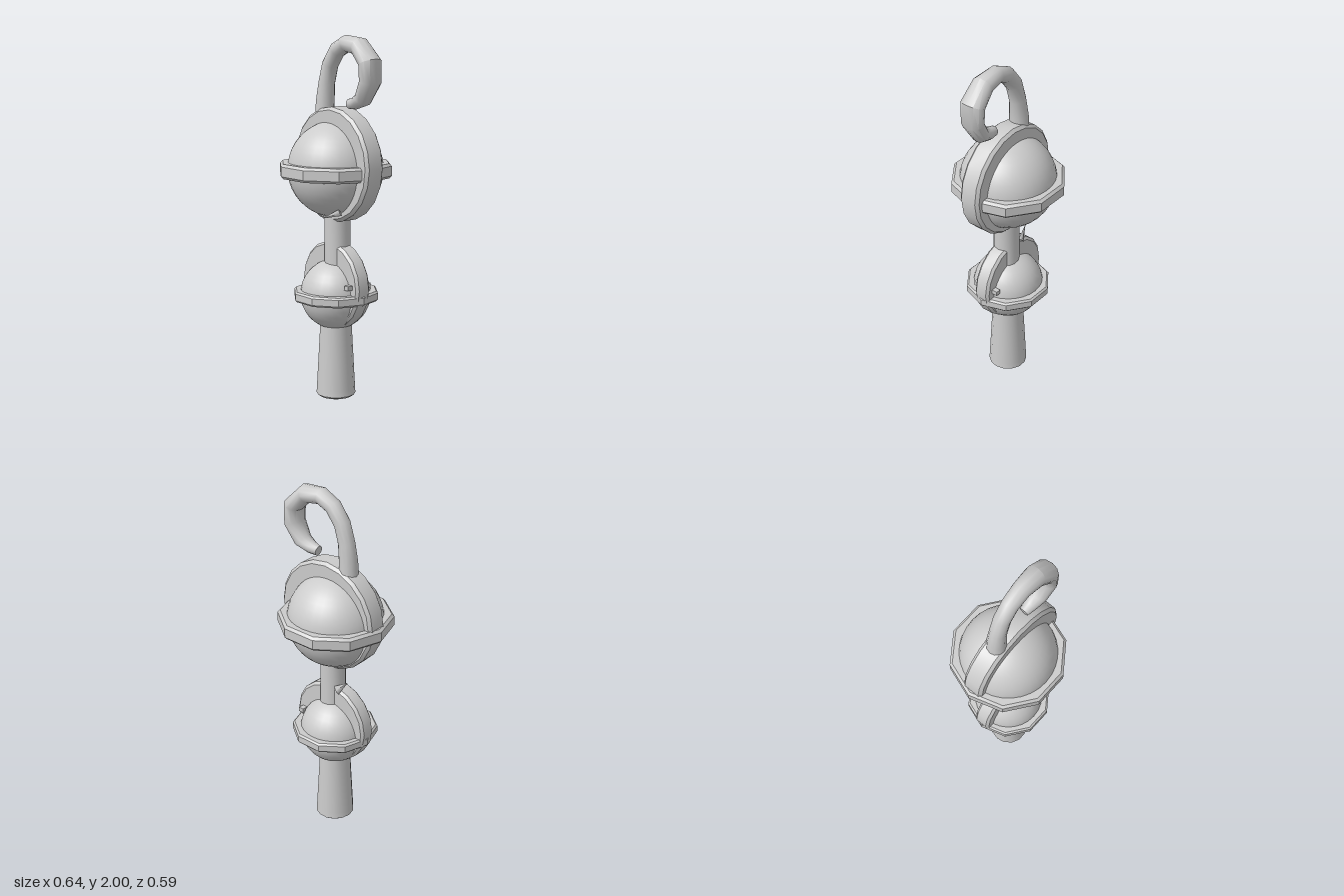
import * as THREE from 'three';
import { toCreasedNormals } from 'three/addons/utils/BufferGeometryUtils.js';

const grey = new THREE.MeshStandardMaterial({ color: 0xcccccc });
const greyThin = new THREE.MeshStandardMaterial({ color: 0xcccccc, side: THREE.DoubleSide });

export function createModel() {
  const model = new THREE.Group();

  const add = (name, geometry, x, y, z = 0, material = grey) => {
    const mesh = new THREE.Mesh(geometry, material);
    mesh.name = name;
    mesh.position.set(x, y, z);
    model.add(mesh);
    return mesh;
  };

  const lathe = (profile, sides, crease = 0.6) => toCreasedNormals(
    new THREE.LatheGeometry(profile.map(p => new THREE.Vector2(...p)), sides, Math.PI / 2), crease);

  // Bevelled band with a hidden inner edge
  const band = (inner, outer, half, bevel, sides) => lathe([
    [inner, -half], [outer - bevel, -half], [outer, -half + bevel],
    [outer, half - bevel], [outer - bevel, half], [inner, half],
  ], sides, 0.5);

  // Thin pointed sliver running from a to b
  const sliver = (name, a, b, width) => {
    const from = new THREE.Vector3(...a), to = new THREE.Vector3(...b);
    const dir = to.clone().sub(from);
    const geometry = new THREE.ConeGeometry(width, dir.length(), 4).scale(1, 1, 0.4);
    const mid = from.clone().add(to).multiplyScalar(0.5);
    add(name, geometry, mid.x, mid.y, mid.z, greyThin)
      .quaternion.setFromUnitVectors(new THREE.Vector3(0, 1, 0), dir.normalize());
  };

  // Tapered handle with a bevelled foot and a small raised boss underneath
  add('handle', lathe([
    [0, 0], [0.055, 0], [0.06, 0.012], [0.092, 0.012], [0.108, 0.025],
    [0.106, 0.06], [0.086, 0.43], [0, 0.43],
  ], 14), -0.007, 0);

  // Lower globe with its two bands
  add('lowerGlobe', new THREE.SphereGeometry(0.194, 28, 18), -0.01, 0.588);
  add('lowerHorizontalBand', band(0.15, 0.237, 0.028, 0.01, 10), -0.007, 0.587);
  add('lowerVerticalBand', band(0.1, 0.238, 0.047, 0.014, 18), -0.008, 0.645)
    .rotation.x = Math.PI / 2;
  add('lowerFlap', new THREE.BoxGeometry(0.03, 0.025, 0.16), 0.175, 0.66);
  sliver('bandSliver', [-0.06, 0.87, -0.05], [-0.125, 0.935, -0.03], 0.025);

  // Stem joining the globes
  add('stem', lathe([[0, 0], [0.072, 0], [0.07, 0.32], [0, 0.32]], 14), 0.007, 0.73);

  // Upper globe with its two bands
  add('upperGlobe', new THREE.SphereGeometry(0.261, 32, 22), -0.01, 1.28);
  add('upperHorizontalBand', band(0.2, 0.312, 0.04, 0.014, 10), -0.012, 1.278);
  add('upperVerticalBand', band(0.15, 0.311, 0.061, 0.016, 20), 0.01, 1.308)
    .rotation.x = Math.PI / 2;
  sliver('globeSliver', [0.15, 1.07, 0.1], [0.05, 1.03, 0.14], 0.02);

  // Curled hook: x, y, in-plane radius, depth radius
  const stations = [
    [-0.102, 1.55, 0.05, 0.055], [-0.098, 1.64, 0.05, 0.052], [-0.085, 1.74, 0.046, 0.045],
    [-0.055, 1.84, 0.045, 0.045], [0.005, 1.918, 0.045, 0.046], [0.085, 1.955, 0.045, 0.05],
    [0.187, 1.942, 0.05, 0.06], [0.27, 1.86, 0.05, 0.07], [0.272, 1.76, 0.048, 0.066],
    [0.215, 1.668, 0.043, 0.052], [0.155, 1.645, 0.034, 0.038], [0.107, 1.638, 0.027, 0.027],
  ];
  const sides = 12, positions = [], index = [];
  stations.forEach(([x, y, r, depth], i) => {
    const a = stations[Math.max(i - 1, 0)];
    const b = stations[Math.min(i + 1, stations.length - 1)];
    const length = Math.hypot(b[0] - a[0], b[1] - a[1]);
    const nx = -(b[1] - a[1]) / length, ny = (b[0] - a[0]) / length;
    for (let j = 0; j < sides; j++) {
      const t = (j / sides) * Math.PI * 2;
      positions.push(x + nx * r * Math.cos(t), y + ny * r * Math.cos(t), depth * Math.sin(t));
      if (i === 0) continue;
      const k = (j + 1) % sides, p = (i - 1) * sides, q = i * sides;
      index.push(p + j, p + k, q + j, p + k, q + k, q + j);
    }
  });
  // Cap on the free end
  const last = (stations.length - 1) * sides;
  for (let j = 1; j < sides - 1; j++) index.push(last, last + j, last + j + 1);
  const hook = new THREE.BufferGeometry();
  hook.setAttribute('position', new THREE.Float32BufferAttribute(positions, 3));
  hook.setIndex(index);
  add('hook', toCreasedNormals(hook, 0.75), 0, 0, 0, greyThin);

  return model;
}
